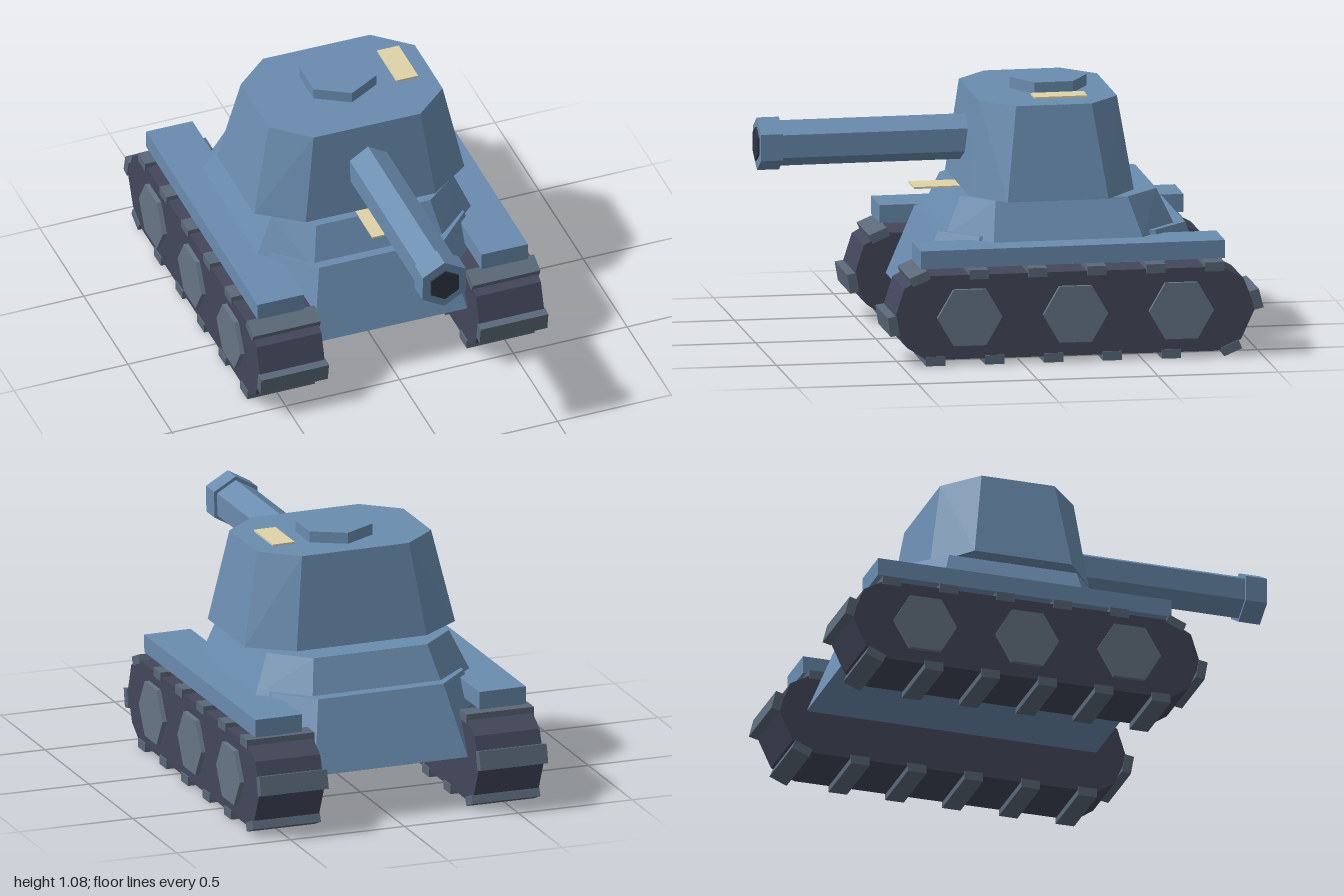
import * as THREE from 'three';
import { ConvexGeometry } from 'three/addons/geometries/ConvexGeometry.js';

const paint = (color) => new THREE.MeshStandardMaterial({ color, flatShading: true });

export function createModel() {
  const blue = paint(0x6a8caf), belt = paint(0x43475a), steel = paint(0x5a6878);
  const wheelGrey = paint(0x667585), sand = paint(0xe0d3a8), dark = paint(0x2f3544);

  const add = (parent, name, geometry, material, x = 0, y = 0, z = 0) => {
    const mesh = new THREE.Mesh(geometry, material);
    mesh.name = name;
    mesh.position.set(x, y, z);
    parent.add(mesh);
    return mesh;
  };
  const box = (w, h, d) => new THREE.BoxGeometry(w, h, d);
  const hex = (r, h) => new THREE.CylinderGeometry(r, r, h, 6);

  // Eight-cornered ring: half width, chamfer start in x, front/back z, chamfer ends in z
  const ring = (y, w, cx, front, back, cf, cb) => [1, -1].flatMap((s) => [
    [cx, front], [w, cf], [w, cb], [cx, back],
  ].map(([x, z]) => new THREE.Vector3(s * x, y, z)));
  const frustum = (a, b) => new ConvexGeometry([...ring(...a), ...ring(...b)]);

  const model = new THREE.Group();
  model.name = 'tank';

  // Upper body leans very slightly, so it pivots above the running gear
  const pivot = new THREE.Group();
  pivot.name = 'upperBody';
  pivot.position.set(0, 0.2, -0.22);
  pivot.rotation.set(0.005, 0, -0.008);
  model.add(pivot);
  const body = new THREE.Group();
  body.name = 'hullAndTurret';
  body.position.set(0, -0.2, 0.22);
  pivot.add(body);

  // Hull and turret
  add(body, 'lowerHull', frustum(
    [0.21, 0.51, 0.335, 0.40, -0.85, 0.22, -0.67],
    [0.50, 0.42, 0.275, 0.29, -0.74, 0.14, -0.59]), blue);
  add(body, 'upperHull', frustum(
    [0.48, 0.47, 0.285, 0.26, -0.70, 0.09, -0.53],
    [0.64, 0.40, 0.25, 0.19, -0.625, 0.07, -0.48]), blue);
  add(body, 'turret', frustum(
    [0.645, 0.462, 0.285, 0.16, -0.525, 0.03, -0.39],
    [1.03, 0.382, 0.235, 0.11, -0.465, -0.02, -0.335]), blue);
  add(body, 'hatch', hex(0.16, 0.07), blue, 0, 1.042, -0.22);

  // Gun
  const gunPart = (name, r, z0, z1, material) => {
    const g = hex(r, z1 - z0).rotateX(Math.PI / 2);
    add(body, name, g, material, 0, 0.837, (z0 + z1) / 2);
  };
  gunPart('barrel', 0.095, 0.0, 0.92, blue);
  gunPart('muzzle', 0.11, 0.9, 0.992, blue);
  gunPart('bore', 0.07, 0.95, 1.0, dark);

  // Pale plates on the roof and the bow
  add(body, 'roofPlate', box(0.095, 0.008, 0.22), sand, 0.262, 1.046, -0.22);
  add(body, 'bowPlate', box(0.13, 0.008, 0.22), sand, 0, 0.64, 0.24);

  // Belt outline in (-z, y)
  const outline = new THREE.Shape([
    [0.40, 0.375], [0.49, 0.325], [0.53, 0.2], [0.48, 0.08], [0.40, 0.025],
    [-0.81, 0.025], [-0.91, 0.07], [-0.97, 0.2], [-0.92, 0.325], [-0.83, 0.375],
  ].map(([z, y]) => new THREE.Vector2(-z, y)));
  const beltGeometry = new THREE.ExtrudeGeometry(outline, { depth: 0.285, bevelEnabled: false })
    .translate(0, 0, -0.1425).rotateY(Math.PI / 2);

  // Tread pads: z, y, tilt about x
  const pads = [
    [0.425, 0.365, 0.4], [0.535, 0.17, Math.PI / 2 - 0.17 + 0.34],
    [-0.87, 0.035, 0.4], [-0.975, 0.235, Math.PI / 2 + 0.25],
  ];
  for (let i = 0; i < 5; i++) {
    pads.push([0.18 - 0.245 * i, 0.376, 0], [0.36 - 0.245 * i, 0.019, 0]);
  }

  for (const side of [1, -1]) {
    const track = new THREE.Group();
    track.name = side > 0 ? 'leftTrack' : 'rightTrack';
    track.position.x = side * 0.482;
    model.add(track);
    add(track, 'belt', beltGeometry, belt);
    for (const [z, y, tilt] of pads) {
      add(track, 'treadPad', box(0.297, 0.038, 0.08), steel, 0, y, z).rotation.x = tilt;
    }
    for (const z of [0.22, -0.22, -0.66]) {
      add(track, 'wheel', hex(0.135, 0.06).rotateZ(Math.PI / 2), wheelGrey, side * 0.132, 0.2, z);
    }
    add(body, 'fender', box(0.204, 0.075, 1.265), blue, side * 0.492, 0.444, -0.217);
  }
  return model;
}
